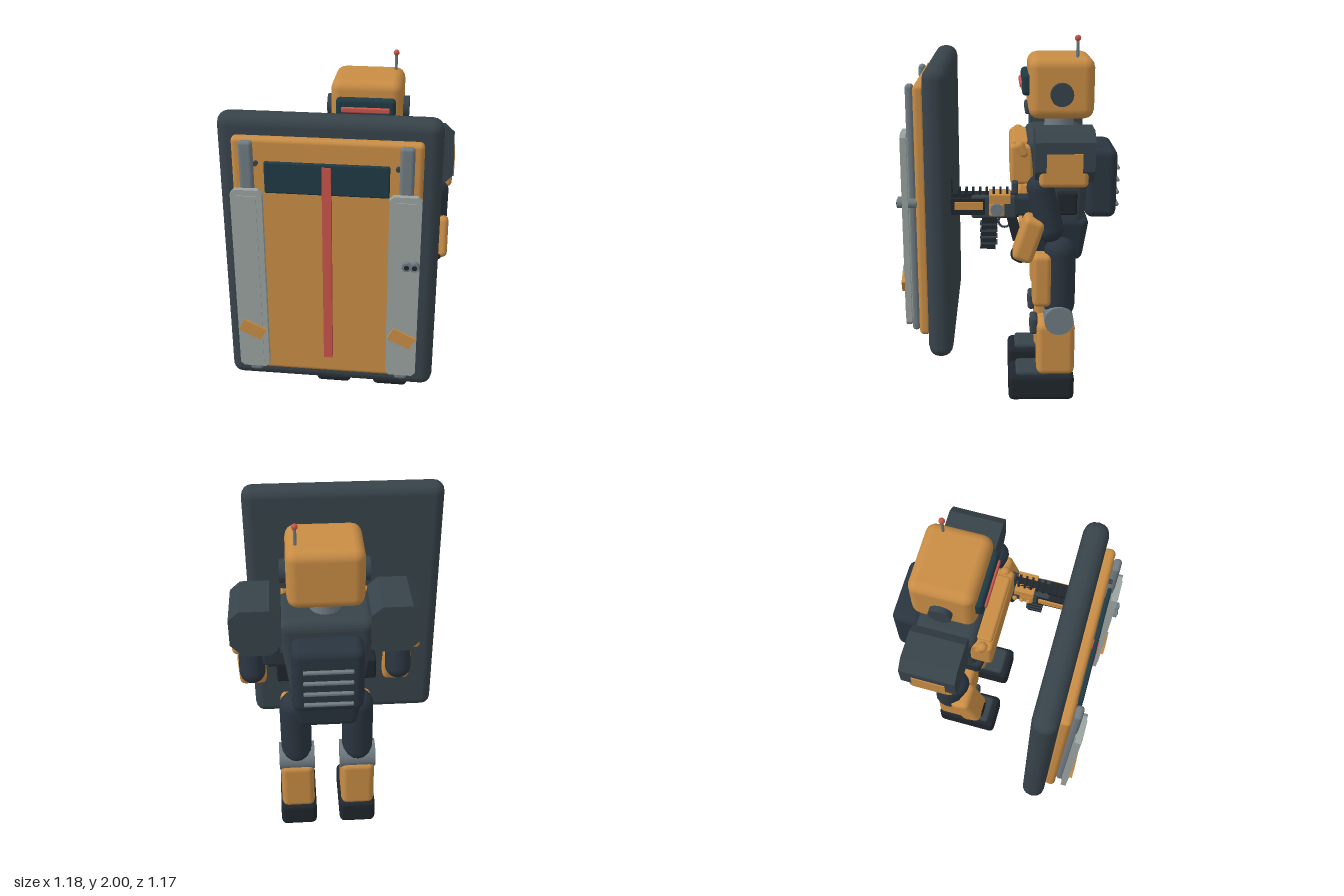
import * as THREE from 'three';
import { RoundedBoxGeometry } from 'three/addons/geometries/RoundedBoxGeometry.js';

const COLORS = {
  orange: 0xc98d45, slate: 0x37434a, navy: 0x2a3540, black: 0x1f262c,
  grey: 0x6f7b82, light: 0x9aa39f, teal: 0x1f3a44, red: 0xc9554a,
};
const mats = {};
for (const k in COLORS) mats[k] = new THREE.MeshStandardMaterial({ color: COLORS[k] });

function add(parent, name, geo, color, pos = [0, 0, 0], rot = [0, 0, 0]) {
  const m = new THREE.Mesh(geo, mats[color]);
  m.name = name;
  m.position.set(...pos);
  m.rotation.set(...rot);
  parent.add(m);
  return m;
}

// Boxes given by their extents: [x0, x1], [y0, y1], [z0, z1]
const mid = (r) => (r[0] + r[1]) / 2;
const len = (r) => r[1] - r[0];
const rbox = (p, name, color, x, y, z, r = 0.02) =>
  add(p, name, new RoundedBoxGeometry(len(x), len(y), len(z), 2, r), color, [mid(x), mid(y), mid(z)]);
const box = (p, name, color, x, y, z) =>
  add(p, name, new THREE.BoxGeometry(len(x), len(y), len(z)), color, [mid(x), mid(y), mid(z)]);

// Rounded box narrowed towards the bottom
function taperedBox(w, h, d, r, bottomX, bottomZ) {
  const g = new RoundedBoxGeometry(w, h, d, 3, r);
  const p = g.attributes.position;
  for (let i = 0; i < p.count; i++) {
    const t = 0.5 - p.getY(i) / h;
    p.setX(i, p.getX(i) * (1 + (bottomX - 1) * t));
    p.setZ(i, p.getZ(i) * (1 + (bottomZ - 1) * t));
  }
  g.computeVertexNormals();
  return g;
}

// Flat polygon extruded along z, centred in depth
function prism(points, depth) {
  const s = new THREE.Shape(points.map(([x, y]) => new THREE.Vector2(x, y)));
  const g = new THREE.ExtrudeGeometry(s, { depth, bevelEnabled: false });
  return g.translate(0, 0, -depth / 2);
}

// Rectangle outline with cut corners
const cutRect = (w, h, c) => [
  [-w, -h + c], [-w + c, -h], [w - c, -h], [w, -h + c],
  [w, h - c], [w - c, h], [-w + c, h], [-w, h - c]];

const HALF = Math.PI / 2;

function buildShield() {
  const g = new THREE.Group();
  g.name = 'shield';
  rbox(g, 'shieldFrame', 'slate', [-0.59, 0.525], [0.33, 1.87], [0.305, 0.435], 0.06);
  rbox(g, 'shieldPanel', 'orange', [-0.505, 0.435], [0.43, 1.775], [0.425, 0.487], 0.024);
  box(g, 'windowMount', 'slate', [-0.3, 0.23], [1.53, 1.63], [0.48, 0.497]);
  rbox(g, 'shieldWindow', 'teal', [-0.34, 0.275], [1.5, 1.665], [0.493, 0.514], 0.009);
  box(g, 'shieldStripe', 'red', [-0.055, -0.01], [0.55, 1.65], [0.486, 0.519]);
  for (const x of [-0.425, 0.357]) {
    rbox(g, 'shieldRail', 'grey', [x - 0.035, x + 0.035], [0.44, 1.77], [0.487, 0.528], 0.018);
    add(g, 'railPlate', prism(cutRect(0.079, 0.52, 0.02), 0.03), 'light', [x, 1.01, 0.54]);
    box(g, 'railPlateRib', 'light', [x - 0.05, x + 0.05], [0.52, 1.5], [0.52, 0.56]);
    add(g, 'railTag', new THREE.BoxGeometry(0.13, 0.07, 0.018), 'orange', [x, 0.732, 0.565], [0, 0, -0.46]);
    const bx = x < 0 ? x + 0.043 : x - 0.043;
    add(g, 'panelBolt', new THREE.CylinderGeometry(0.012, 0.012, 0.03, 10), 'slate', [bx, 1.65, 0.493], [HALF, 0, 0]);
  }
  return g;
}

function buildHead() {
  const g = new THREE.Group();
  g.name = 'head';
  add(g, 'neck', new THREE.CylinderGeometry(0.075, 0.085, 0.2, 16), 'grey', [0, 1.5, -0.265]);
  rbox(g, 'skull', 'orange', [-0.193, 0.193], [1.57, 1.89], [-0.437, -0.095], 0.055);
  rbox(g, 'visor', 'teal', [-0.16, 0.16], [1.69, 1.805], [-0.115, -0.062], 0.022);
  rbox(g, 'visorLight', 'red', [-0.13, 0.13], [1.73, 1.76], [-0.07, -0.05], 0.008);
  rbox(g, 'mouthVent', 'slate', [-0.09, 0.09], [1.582, 1.635], [-0.115, -0.08], 0.012);
  for (const s of [-1, 1])
    add(g, 'ear', new THREE.CylinderGeometry(0.06, 0.06, 0.05, 20), 'slate', [s * 0.2, 1.705, -0.265], [0, 0, HALF]);
  add(g, 'antenna', new THREE.CylinderGeometry(0.008, 0.008, 0.11, 8), 'grey', [0.142, 1.93, -0.345]);
  add(g, 'antennaTip', new THREE.SphereGeometry(0.016, 12, 8), 'red', [0.142, 1.984, -0.345]);
  return g;
}

function buildTorso() {
  const g = new THREE.Group();
  g.name = 'torso';
  add(g, 'torsoShell', taperedBox(0.51, 0.52, 0.34, 0.06, 0.72, 0.86), 'slate', [0, 1.23, -0.25]);
  add(g, 'pelvis', taperedBox(0.4, 0.25, 0.36, 0.04, 0.78, 0.8), 'navy', [0, 0.915, -0.245]);
  rbox(g, 'chestPlate', 'orange', [-0.235, 0.235], [1.24, 1.45], [-0.12, 0], 0.02);
  rbox(g, 'chestTop', 'orange', [-0.19, 0.19], [1.4, 1.465], [-0.1, -0.01], 0.015);
  rbox(g, 'bellyPlate', 'orange', [-0.13, 0.13], [1.06, 1.22], [-0.14, -0.07], 0.02);
  rbox(g, 'hipPlate', 'orange', [-0.075, 0.075], [0.85, 1.0], [-0.12, -0.05], 0.02);
  for (const s of [-1, 1]) {
    add(g, 'chestKnob', new THREE.CapsuleGeometry(0.027, 0.04, 4, 10), 'orange', [s * 0.222, 1.425, -0.06], [0.5, 0, 0]);
    rbox(g, 'sidePouch', 'black', [s * 0.225 - 0.035, s * 0.225 + 0.035], [1.08, 1.2], [-0.35, -0.25], 0.01);
  }
  // Backpack with cooling slats
  rbox(g, 'backpack', 'navy', [-0.183, 0.183], [1.035, 1.415], [-0.568, -0.4], 0.045);
  for (let i = 0; i < 4; i++)
    rbox(g, 'backpackSlat', 'grey', [-0.127, 0.127], [1.09 + i * 0.067, 1.108 + i * 0.067], [-0.585, -0.564], 0.006);
  return g;
}

function buildArm(s) {
  const g = new THREE.Group();
  g.name = s > 0 ? 'leftArm' : 'rightArm';
  add(g, 'shoulderJoint', new THREE.CylinderGeometry(0.07, 0.07, 0.2, 16), 'navy', [s * 0.28, 1.4, -0.265], [0, 0, HALF]);
  const pad = [[0.225, 1.37], [0.28, 1.3], [0.42, 1.3], [0.485, 1.37], [0.485, 1.515], [0.43, 1.565], [0.28, 1.565], [0.225, 1.515]]
    .map(([x, y]) => [s * x, y]);
  add(g, 'shoulderPad', prism(pad, 0.295), 'slate', [0, 0, -0.267]);
  box(g, 'shoulderPanel', 'orange', [s * 0.478 - 0.012, s * 0.478 + 0.012], [1.34, 1.46], [-0.353, -0.175]);
  rbox(g, 'shoulderCuff', 'orange', [s * 0.395 - 0.085, s * 0.395 + 0.085], [1.285, 1.38], [-0.385, -0.14], 0.025);
  add(g, 'upperArm', new THREE.CapsuleGeometry(0.07, 0.22, 6, 14), 'navy', [s * 0.395, 1.16, -0.175], [0.24, 0, 0]);
  add(g, 'elbow', new THREE.SphereGeometry(0.066, 14, 10), 'navy', [s * 0.4, 1.05, -0.19]);
  add(g, 'forearm', new RoundedBoxGeometry(0.15, 0.235, 0.11, 2, 0.03), 'orange', [s * 0.4, 1.005, -0.09], [-0.33, 0, 0]);
  add(g, 'hand', new RoundedBoxGeometry(0.1, 0.1, 0.08, 2, 0.025), 'black', [s * 0.395, 0.93, -0.05], [-0.5, 0, 0]);
  return g;
}

function buildLeg(s) {
  const g = new THREE.Group();
  g.name = s > 0 ? 'leftLeg' : 'rightLeg';
  g.position.x = s * 0.173;
  add(g, 'thigh', new THREE.CapsuleGeometry(0.086, 0.3, 6, 16), 'navy', [0, 0.7, -0.27]);
  rbox(g, 'thighPlate', 'orange', [-0.08, 0.08], [0.55, 0.85], [-0.225, -0.12], 0.03);
  add(g, 'knee', new THREE.CylinderGeometry(0.08, 0.08, 0.2, 20), 'grey', [0, 0.48, -0.265], [0, 0, HALF]);
  rbox(g, 'kneePad', 'slate', [-0.055, 0.055], [0.38, 0.48], [-0.152, -0.108], 0.018);
  rbox(g, 'shin', 'orange', [-0.095, 0.095], [0.15, 0.46], [-0.355, -0.145], 0.035);
  rbox(g, 'foot', 'black', [-0.105, 0.105], [0, 0.155], [-0.355, 0.01], 0.03);
  rbox(g, 'footCap', 'slate', [-0.085, 0.085], [0.12, 0.177], [-0.225, -0.03], 0.02);
  return g;
}

function buildGun() {
  const g = new THREE.Group();
  g.name = 'rifle';
  g.position.x = 0.392;
  rbox(g, 'stock', 'navy', [-0.045, 0.045], [1.1, 1.2], [-0.23, 0.02], 0.015);
  rbox(g, 'receiver', 'slate', [-0.055, 0.055], [1.09, 1.21], [-0.03, 0.2], 0.012);
  box(g, 'receiverCover', 'orange', [-0.062, 0.062], [1.17, 1.215], [0.0, 0.11]);
  rbox(g, 'receiverPlate', 'orange', [-0.065, 0.065], [1.1, 1.175], [0.03, 0.11], 0.012);
  box(g, 'handguard', 'black', [-0.058, 0.058], [1.11, 1.195], [0.13, 0.33]);
  box(g, 'handguardCover', 'orange', [-0.068, 0.068], [1.14, 1.18], [0.14, 0.285]);
  box(g, 'topRail', 'black', [-0.028, 0.028], [1.19, 1.215], [-0.03, 0.31]);
  for (let i = 0; i < 8; i++)
    box(g, 'railTooth', 'black', [-0.034, 0.034], [1.21, 1.237], [0.01 + i * 0.035, 0.022 + i * 0.035]);
  rbox(g, 'rearSight', 'slate', [-0.025, 0.025], [1.2, 1.275], [-0.04, -0.005], 0.01);
  box(g, 'frontSight', 'black', [-0.008, 0.008], [1.19, 1.29], [0.297, 0.31]);
  add(g, 'magazine', new THREE.BoxGeometry(0.05, 0.18, 0.08), 'black', [0, 1.005, 0.112], [-0.07, 0, 0]);
  for (let i = 0; i < 4; i++)
    box(g, 'magazineRib', 'slate', [-0.03, 0.03], [0.94 + i * 0.035, 0.95 + i * 0.035], [0.067, 0.157]);
  add(g, 'grip', new THREE.BoxGeometry(0.045, 0.14, 0.05), 'black', [0, 1.03, -0.02], [0.25, 0, 0]);
  add(g, 'triggerGuard', new THREE.TorusGeometry(0.032, 0.006, 6, 16), 'slate', [0, 1.06, 0.03], [0, HALF, 0]);
  add(g, 'sideKnob', new THREE.CylinderGeometry(0.033, 0.033, 0.03, 14), 'grey', [0.062, 1.14, 0.07], [0, 0, HALF]);
  // Fingers around the receiver
  for (let i = 0; i < 3; i++)
    add(g, 'finger', new THREE.SphereGeometry(0.014, 10, 8), 'orange', [-0.066, 1.13, 0.005 + i * 0.04]);
  // Twin barrels through the shield
  for (const s of [-1, 1]) {
    add(g, 'barrel', new THREE.CylinderGeometry(0.016, 0.016, 0.32, 12), 'slate', [s * 0.02, 1.163, 0.4], [HALF, 0, 0]);
    add(g, 'muzzle', new THREE.CylinderGeometry(0.024, 0.024, 0.1, 14), 'grey', [s * 0.02, 1.163, 0.533], [HALF, 0, 0]);
    add(g, 'muzzleBore', new THREE.CylinderGeometry(0.013, 0.013, 0.01, 12), 'black', [s * 0.02, 1.163, 0.581], [HALF, 0, 0]);
  }
  return g;
}

export function createModel() {
  const model = new THREE.Group();
  model.name = 'shieldRobot';
  // Robot stands slightly to the left of the shield centre
  const robot = new THREE.Group();
  robot.name = 'robot';
  robot.position.x = 0.102;
  robot.add(buildHead(), buildTorso());
  for (const s of [-1, 1]) robot.add(buildArm(s), buildLeg(s));
  model.add(robot, buildShield(), buildGun());
  return model;
}
